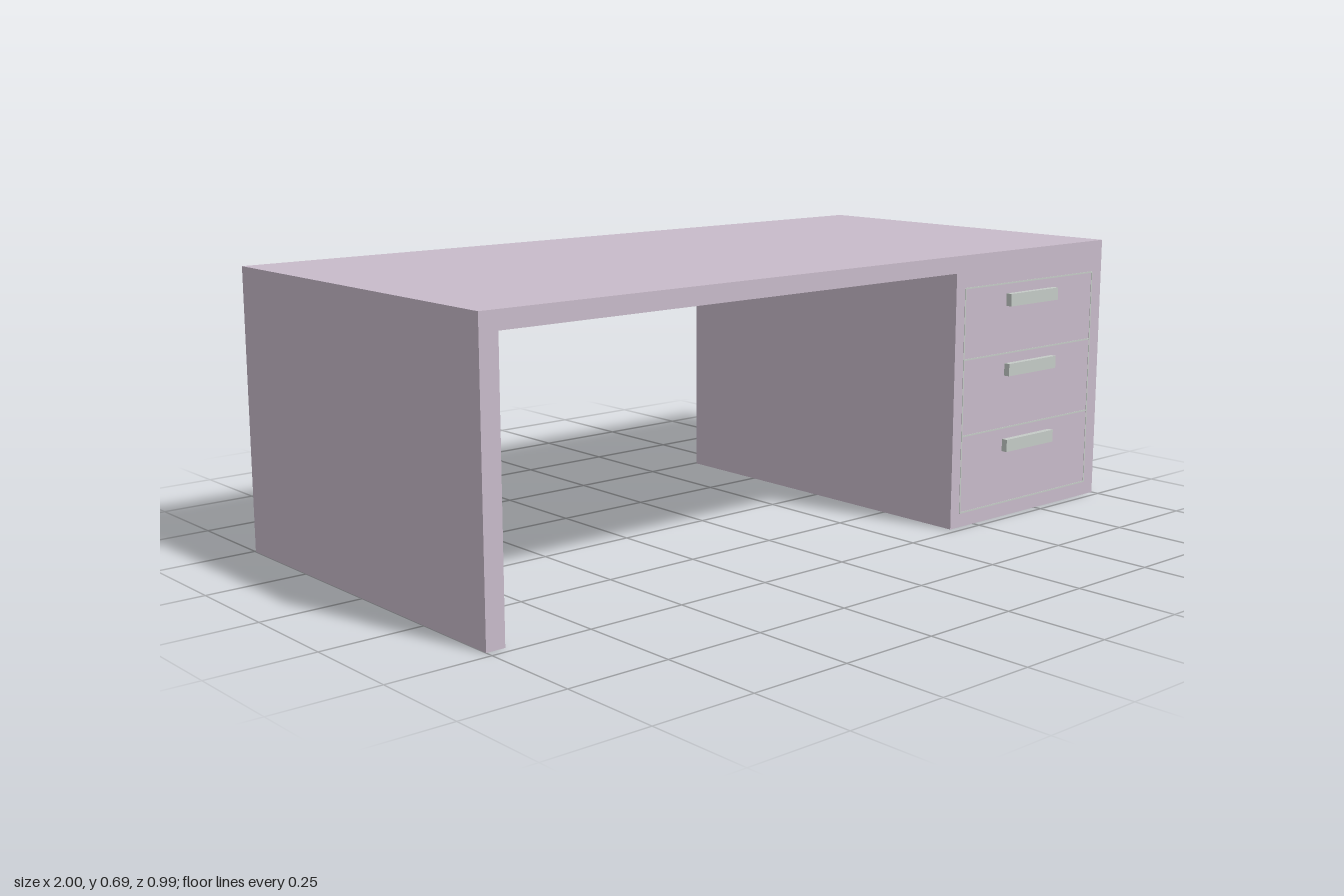
import * as THREE from 'three';

const FRONT = 0.479, BACK = -0.495, TOP = 0.693, UNDER = 0.65;
const LEG = -0.953, PED = 0.413; // inner faces of the leg and the drawer pedestal

export function createModel() {
  const model = new THREE.Group();
  model.name = 'desk';

  const lilac = new THREE.MeshStandardMaterial({ color: 0xc8bbca, side: THREE.DoubleSide });
  lilac.name = 'lilac panel';
  const grey = new THREE.MeshStandardMaterial({ color: 0xc5cbc7, side: THREE.DoubleSide });
  grey.name = 'pale grey trim';

  const add = (name, geometry, material, x = 0, y = 0, z = 0, parent = model) => {
    const mesh = new THREE.Mesh(geometry, material);
    mesh.name = name;
    mesh.position.set(x, y, z);
    parent.add(mesh);
    return mesh;
  };

  // Hollow shell: flat panels that run from front to back, open at the floor
  const depth = FRONT - BACK, midZ = (FRONT + BACK) / 2;
  const sidePanel = (name, x, height, dir) => {
    add(name, new THREE.PlaneGeometry(depth, height), lilac, x, height / 2, midZ).rotation.y = dir * Math.PI / 2;
  };
  sidePanel('pedestalOuterSide', 1, TOP, 1);
  sidePanel('pedestalInnerSide', PED, UNDER, -1);
  sidePanel('legOuterSide', -1, TOP, -1);
  sidePanel('legInnerSide', LEG, UNDER, 1);
  add('tabletop', new THREE.PlaneGeometry(2, depth), lilac, 0, TOP, midZ).rotation.x = -Math.PI / 2;
  add('tabletopUnderside', new THREE.PlaneGeometry(PED - LEG, depth), lilac, (PED + LEG) / 2, UNDER, midZ)
    .rotation.x = Math.PI / 2;

  // Front and back faces share one arch outline
  const arch = () => new THREE.Shape([
    [-1, 0], [LEG, 0], [LEG, UNDER], [PED, UNDER], [PED, 0], [1, 0], [1, TOP], [-1, TOP],
  ].map(([x, y]) => new THREE.Vector2(x, y)));
  const back = add('backFace', new THREE.ShapeGeometry(arch()), lilac, 0, 0, BACK);
  back.geometry.index.array.reverse(); // face outward

  // Open-backed pulls, each over a slot in the front face
  const front = arch();
  const pullX = 0.702, w = 0.19, h = 0.032, d = 0.016;
  [0.568, 0.388, 0.19].forEach((y, i) => {
    const l = pullX - w / 2, r = pullX + w / 2, b = y - h / 2, t = y + h / 2;
    front.holes.push(new THREE.Path([
      new THREE.Vector2(l, b), new THREE.Vector2(l, t), new THREE.Vector2(r, t), new THREE.Vector2(r, b),
    ]));
    const pull = new THREE.BoxGeometry(w, h, d);
    pull.setIndex(Array.from(pull.index.array).slice(0, 30)); // drop the back side
    pull.clearGroups();
    add('drawerHandle' + (i + 1), pull, grey, pullX, y, FRONT + d / 2);
  });
  add('frontFace', new THREE.ShapeGeometry(front), lilac, 0, 0, FRONT);

  // Thin lines that outline the three drawers
  const lines = new THREE.Group();
  lines.name = 'drawerOutlines';
  model.add(lines);
  const x0 = 0.447, x1 = 0.96, y0 = 0.037, y1 = 0.61, line = 0.004;
  for (const y of [y0, 0.235, 0.43, y1]) {
    add('drawerLine', new THREE.BoxGeometry(x1 - x0, line, 0.001), grey, (x0 + x1) / 2, y, FRONT + 0.0006, lines);
  }
  for (const x of [x0, x1]) {
    add('drawerEdge', new THREE.BoxGeometry(line, y1 - y0, 0.001), grey, x, (y0 + y1) / 2, FRONT + 0.0006, lines);
  }

  return model;
}
